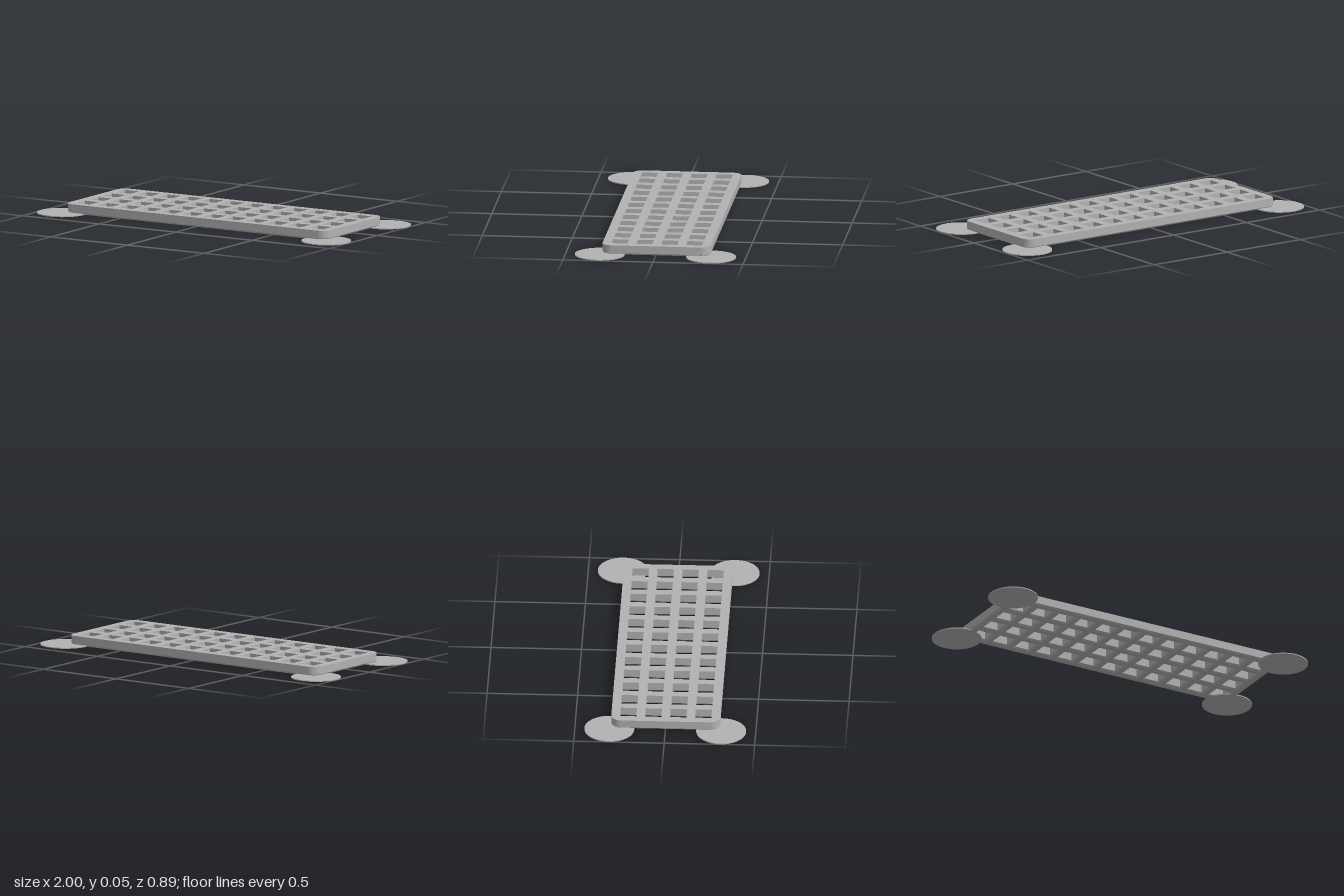
import * as THREE from 'three';
import { mergeGeometries, toCreasedNormals } from 'three/addons/utils/BufferGeometryUtils.js';

const HEIGHT = 0.053, CHAMFER = 0.009;
const COLS = 12, ROWS = 4, PITCH = 0.138, HOLE = 0.09;

// Counter-clockwise outline of the plate with rounded corners
function outline(inset) {
  const r = 0.055, rr = r - inset, pts = [];
  [[1, 1], [-1, 1], [-1, -1], [1, -1]].forEach(([sx, sy], q) => {
    for (let i = 0; i <= 8; i++) {
      const a = (q + i / 8) * Math.PI / 2;
      pts.push(new THREE.Vector2(sx * (0.853 - r) + rr * Math.cos(a), sy * (0.301 - r) + rr * Math.sin(a)));
    }
  });
  return pts;
}

// Clockwise square holes; they widen where the solid is inset
function holes(inset) {
  const s = HOLE / 2 + inset, list = [];
  for (let c = 0; c < COLS; c++) {
    for (let r = 0; r < ROWS; r++) {
      const x = (c - (COLS - 1) / 2) * PITCH, y = (r - (ROWS - 1) / 2) * PITCH;
      list.push([[-s, -s], [-s, s], [s, s], [s, -s]].map(([dx, dy]) => new THREE.Vector2(x + dx, y + dy)));
    }
  }
  return list;
}

// Flat face with all the holes
function cap(inset, z, faceDown) {
  const shape = new THREE.Shape(outline(inset));
  shape.holes = holes(inset).map(h => new THREE.Path(h));
  const g = new THREE.ShapeGeometry(shape);
  if (faceDown) g.index.array.reverse();
  g.translate(0, 0, z);
  const flat = g.toNonIndexed();
  flat.deleteAttribute('uv');
  flat.deleteAttribute('normal');
  return flat;
}

// Walls between two levels, around the rim and in every hole
function walls(insetA, zA, insetB, zB) {
  const lower = [outline(insetA), ...holes(insetA)];
  const upper = [outline(insetB), ...holes(insetB)];
  const pos = [];
  lower.forEach((ring, k) => ring.forEach((p, i) => {
    const j = (i + 1) % ring.length;
    const a = [p.x, p.y, zA], b = [ring[j].x, ring[j].y, zA];
    const c = [upper[k][j].x, upper[k][j].y, zB], d = [upper[k][i].x, upper[k][i].y, zB];
    pos.push(...a, ...b, ...c, ...a, ...c, ...d);
  }));
  return new THREE.BufferGeometry().setAttribute('position', new THREE.Float32BufferAttribute(pos, 3));
}

export function createModel() {
  const group = new THREE.Group();
  const grey = new THREE.MeshStandardMaterial({ color: 0xb2b2b2 });
  grey.name = 'grey';

  // Perforated plate, chamfered along its lower edges
  const plateGeometry = mergeGeometries([
    cap(0, HEIGHT, false),
    walls(0, CHAMFER, 0, HEIGHT),
    walls(CHAMFER, 0, 0, CHAMFER),
    cap(CHAMFER, 0, true),
  ]);
  plateGeometry.rotateX(-Math.PI / 2);
  plateGeometry.computeVertexNormals();
  const plate = new THREE.Mesh(toCreasedNormals(plateGeometry, 0.5), grey);
  plate.name = 'gridPlate';
  group.add(plate);

  // Thin round pads under the four corners
  const padGeometry = new THREE.CylinderGeometry(0.138, 0.138, 0.0055, 64);
  for (const sx of [-1, 1]) {
    for (const sz of [-1, 1]) {
      const pad = new THREE.Mesh(padGeometry, grey);
      pad.name = (sz > 0 ? 'front' : 'back') + (sx > 0 ? 'Left' : 'Right') + 'Pad';
      pad.position.set(sx * 0.862, 0.00275, sz * 0.309);
      group.add(pad);
    }
  }
  return group;
}
